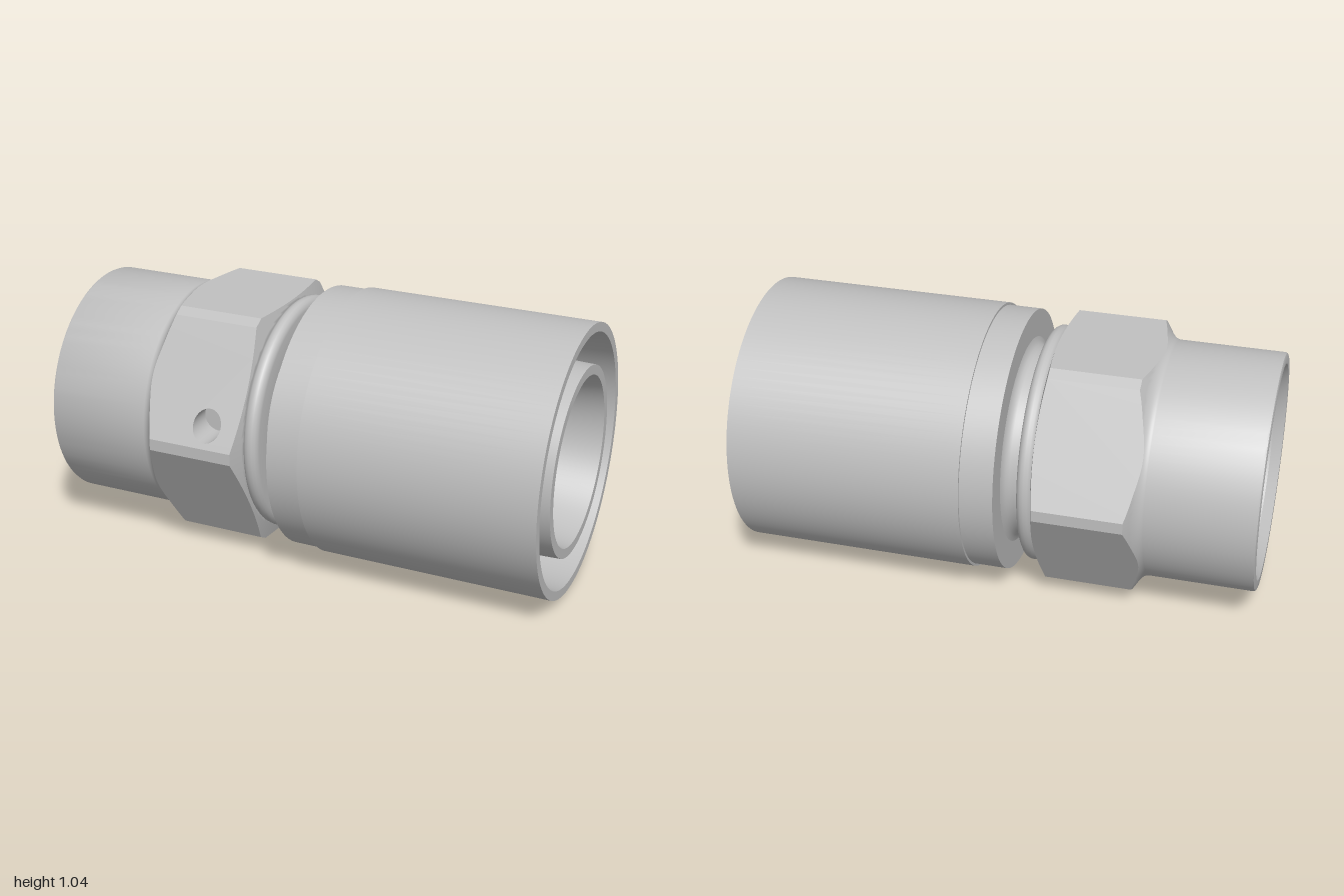
import * as THREE from 'three';
import { toCreasedNormals } from 'three/addons/utils/BufferGeometryUtils.js';
import { ParametricGeometry } from 'three/addons/geometries/ParametricGeometry.js';

const AXIS_Y = 0.523;                 // height of the fitting's axis
const DEG = Math.PI / 180;
const CORNER = 0.523;                 // distance to the truncated hex corners
const CORNER_R = CORNER / Math.cos(2.5 * DEG);
const FLAT = CORNER_R * Math.cos(27.5 * DEG); // distance to the hex flats

// Distance from axis to the hex outline, angle measured from +y
function hexRadius(theta) {
  const a = ((theta / DEG + 30) % 60 + 60) % 60 - 30;   // from nearest flat
  const b = 30 - Math.abs(a);                           // from nearest corner
  return Math.min(FLAT / Math.cos(a * DEG), CORNER / Math.cos(b * DEG));
}

// Chamfered ends of the hex: x position for a given radius
const leftEnd = (r) => r < 0.485
  ? -0.59 + 0.042 * Math.sqrt(Math.max(0, r - 0.457) / 0.028)
  : -0.548 + 0.023 * (r - 0.485) / 0.038;
const rightEnd = (r) => -0.165 - 0.02 * Math.max(0, r - 0.455) / 0.068;

export function createModel() {
  const model = new THREE.Group();
  model.name = 'hoseFitting';
  const steel = new THREE.MeshStandardMaterial({ color: 0xc0c0c0 });
  steel.name = 'steel';

  const body = new THREE.Group();
  body.name = 'fittingBody';
  body.position.y = AXIS_Y;
  model.add(body);

  function add(name, geometry, parent = body) {
    const mesh = new THREE.Mesh(geometry, steel);
    mesh.name = name;
    parent.add(mesh);
  }

  // Turned part: profile of [x, radius] pairs around the x axis
  function turned(name, profile) {
    const points = profile.map(([x, r]) => new THREE.Vector2(r, x));
    const geometry = new THREE.LatheGeometry(points, 96).rotateZ(-Math.PI / 2);
    add(name, toCreasedNormals(geometry, 0.5));
  }

  // Nut tail with its bore and seat
  turned('nutTail', [[-0.3, 0.193], [-0.36, 0.38], [-0.96, 0.38], [-1, 0.415],
    [-1, 0.447], [-0.997, 0.454], [-0.99, 0.457], [-0.588, 0.457]]);

  // Rounded ring behind the hex
  turned('nutRing', [[-0.168, 0.44], [-0.163, 0.45], [-0.153, 0.458], [-0.14, 0.4615],
    [-0.127, 0.46], [-0.117, 0.453], [-0.11, 0.442], [-0.108, 0.43], [-0.108, 0.36]]);

  // Neck, collar and crimp sleeve
  turned('neck', [[-0.12, 0.367], [-0.078, 0.367], [-0.064, 0.37], [-0.052, 0.378],
    [-0.043, 0.389], [-0.038, 0.405]]);
  turned('sleeve', [[-0.038, 0.405], [-0.038, 0.513], [0.09, 0.513], [0.09, 0.5225],
    [1, 0.5225], [1, 0.487], [0.12, 0.443], [0.12, 0.392]]);

  // Inner nipple with tapered through bore
  turned('nipple', [[0.12, 0.392], [1, 0.365], [1, 0.327], [0, 0.193], [-0.3, 0.193]]);

  // Hex nut sides
  const hex = new THREE.Group();
  hex.name = 'hexNut';
  body.add(hex);
  const hole = { x: -0.3, y: 0.1, r: 0.0575, floor: 0.385 };

  function hexSide(name, distance, halfAngle, turn, drilled) {
    const left = [], right = [];
    for (let a = -halfAngle; a <= halfAngle + 0.01; a += 2.5) {
      const r = distance / Math.cos(a * DEG), s = distance * Math.tan(a * DEG);
      left.unshift(new THREE.Vector2(leftEnd(r), s));
      right.push(new THREE.Vector2(rightEnd(r), s));
    }
    const shape = new THREE.Shape([...right, ...left]);
    if (drilled) {
      const s = (hole.y - FLAT * 0.5) / Math.cos(30 * DEG);
      const path = new THREE.Path();
      path.absellipse(hole.x, s, hole.r, hole.r / Math.cos(30 * DEG), 0, Math.PI * 2, true);
      shape.holes.push(path);
    }
    const geometry = new THREE.ShapeGeometry(shape, 24);
    add(name, geometry.translate(0, 0, distance).rotateX(turn * DEG), hex);
  }
  for (let k = 0; k < 6; k++) {
    hexSide('hexFlat', FLAT, 27.5, -30 + 60 * k, k === 0);
    hexSide('hexCorner', CORNER, 2.5, 60 * k, false);
  }

  // Chamfered hex ends
  function hexEnd(name, inner, end, direction) {
    add(name, new ParametricGeometry((u, v, target) => {
      const theta = direction * u * Math.PI * 2;
      const r = inner + (hexRadius(theta) - inner) * v * v;
      target.set(end(r), r * Math.cos(theta), r * Math.sin(theta));
    }, 144, 8), hex);
  }
  hexEnd('hexFrontChamfer', 0.457, leftEnd, 1);
  hexEnd('hexRearChamfer', 0.44, rightEnd, -1);

  // Drilled hole wall and floor
  add('holeWall', new ParametricGeometry((u, v, target) => {
    const a = u * Math.PI * 2;
    const y = hole.y + hole.r * Math.sin(a);
    const top = (FLAT - 0.5 * y) / Math.cos(30 * DEG);
    target.set(hole.x + hole.r * Math.cos(a), y, top + (hole.floor - top) * v);
  }, 48, 1), hex);
  add('holeFloor', new THREE.CircleGeometry(hole.r, 48).translate(hole.x, hole.y, hole.floor), hex);

  return model;
}
